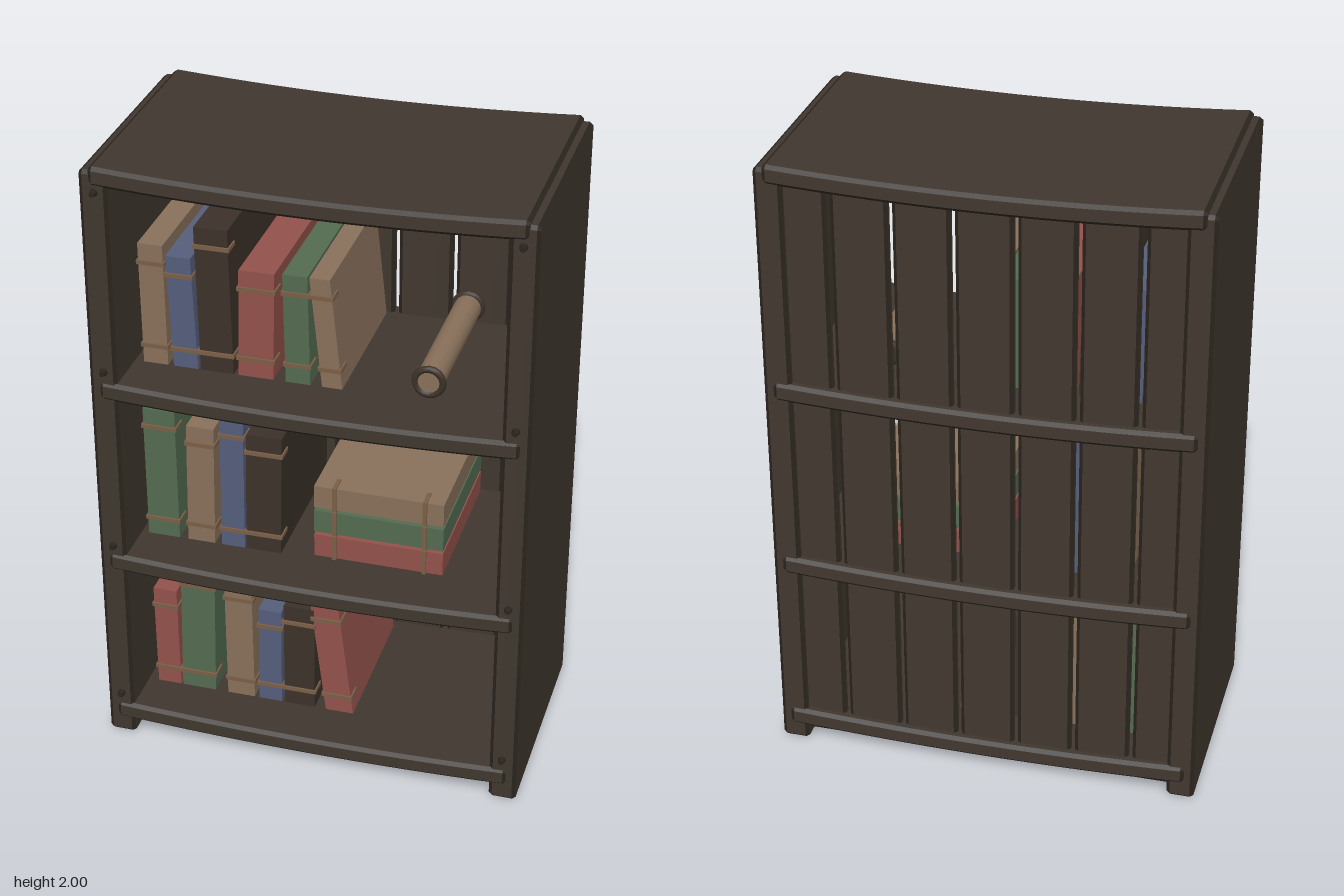
import * as THREE from 'three';

const mat = (name, color) => Object.assign(new THREE.MeshStandardMaterial({ color }), { name });

export function createModel() {
  const root = new THREE.Group();
  root.name = 'bookcase';
  const wood = mat('dark wood', 0x40372f);
  const edge = mat('worn dark edge', 0x2b241e);
  const colors = {
    tan: mat('tan leather', 0x88705a),
    blue: mat('blue cloth', 0x555d7a),
    red: mat('red cloth', 0x92514a),
    green: mat('green cloth', 0x536b50),
    dark: mat('dark leather', 0x3b3129),
  };
  const bandMat = mat('spine band', 0x7a5f47);

  const add = (parent, name, geo, material, x = 0, y = 0, z = 0) => {
    const m = new THREE.Mesh(geo, material);
    m.name = name;
    m.position.set(x, y, z);
    parent.add(m);
    return m;
  };

  // Chamfered box, flat faces in wood and chamfers in the edge colour; optional sag along x
  function board(name, w, h, d, x, y, z, sag = 0) {
    const b = 0.011, p = d / 2, q = h / 2;
    const shape = new THREE.Shape([
      [-p + b, -q], [p - b, -q], [p, -q + b], [p, q - b],
      [p - b, q], [-p + b, q], [-p, q - b], [-p, -q + b],
    ].map(([u, v]) => new THREE.Vector2(u, v)));
    const ext = new THREE.ExtrudeGeometry(shape, {
      depth: w - 2 * b, steps: sag ? 16 : 1, bevelEnabled: true,
      bevelThickness: b, bevelSize: b * 0.7, bevelOffset: -b * 0.7, bevelSegments: 1,
    });
    ext.translate(0, 0, -(w - 2 * b) / 2).rotateY(Math.PI / 2);
    const src = ext.getAttribute('position');
    const faces = [[], []];
    const tri = new THREE.Triangle(), n = new THREE.Vector3();
    for (let i = 0; i < src.count; i += 3) {
      tri.setFromAttributeAndIndices(src, i, i + 1, i + 2);
      tri.getNormal(n);
      const flat = Math.max(Math.abs(n.x), Math.abs(n.y), Math.abs(n.z)) > 0.99;
      for (const v of [tri.a, tri.b, tri.c]) {
        faces[flat ? 0 : 1].push(v.x, v.y - sag * (1 - (2 * v.x / w) ** 2), v.z);
      }
    }
    const geo = new THREE.BufferGeometry();
    geo.setAttribute('position', new THREE.Float32BufferAttribute(faces.flat(), 3));
    geo.addGroup(0, faces[0].length / 3, 0);
    geo.addGroup(faces[0].length / 3, faces[1].length / 3, 1);
    geo.computeVertexNormals();
    return add(root, name, geo, [wood, edge], x, y, z);
  }

  // Side panels with pegs on their front edges
  for (const s of [-1, 1]) {
    board(s > 0 ? 'leftSide' : 'rightSide', 0.085, 1.985, 0.745, s * 0.628, 0.9925, -0.005);
    for (const y of [0.155, 0.72, 1.335, 1.92]) {
      const peg = new THREE.CylinderGeometry(0.009, 0.013, 0.02, 8).rotateX(Math.PI / 2);
      add(root, 'peg', peg, edge, s * 0.625, y, 0.375);
    }
  }

  // Sagging top, shelves and bottom
  [['bottomBoard', 0.088, 0.018], ['lowerShelf', 0.66, 0.02],
    ['upperShelf', 1.27, 0.02], ['topBoard', 1.97, 0.022]]
    .forEach(([name, y, sag]) => board(name, 1.28, 0.06, 0.76, 0, y, -0.006, sag));

  // Back planks with narrow gaps
  for (let i = 0; i < 7; i++) {
    const y0 = 0.03 + 0.008 * (i % 3);
    board('backPlank', 0.171, 1.95 - y0, 0.03, (i - 3) * 0.184 - 0.005, (1.95 + y0) / 2, -0.345);
  }

  const front = 0.24, depth = 0.5;

  // Leaning block: its top is moved along x by lean
  function leaningBox(w, h, d, lean) {
    const g = new THREE.BoxGeometry(w, h, d);
    const p = g.getAttribute('position');
    for (let i = 0; i < p.count; i++) p.setX(i, p.getX(i) + lean * (p.getY(i) / h));
    g.computeVertexNormals();
    return g;
  }

  // Standing books: colour, left edge at the base, left edge at the top, width, top height
  const rows = [
    [1.315, [['tan', -0.545, -0.55, 0.077, 1.71], ['blue', -0.45, -0.465, 0.077, 1.68],
      ['dark', -0.365, -0.375, 0.103, 1.785], ['red', -0.247, -0.24, 0.109, 1.665],
      ['green', -0.1, -0.107, 0.076, 1.67], ['tan', 0.012, -0.025, 0.062, 1.67]]],
    [0.70, [['green', -0.555, -0.558, 0.102, 1.15], ['tan', -0.425, -0.42, 0.088, 1.11],
      ['blue', -0.315, -0.312, 0.075, 1.155], ['dark', -0.235, -0.228, 0.112, 1.11]]],
    [0.13, [['red', -0.545, -0.55, 0.077, 0.49], ['green', -0.462, -0.455, 0.112, 0.585],
      ['tan', -0.308, -0.312, 0.09, 0.56], ['blue', -0.202, -0.2, 0.075, 0.475],
      ['dark', -0.117, -0.117, 0.1, 0.505], ['red', 0.02, -0.03, 0.09, 0.535]]],
  ];
  for (const [y0, books] of rows) {
    for (const [color, xb, xt, w, y1] of books) {
      const h = y1 - y0, lean = xt - xb;
      const book = new THREE.Group();
      book.name = color + 'Book';
      book.position.set((xb + xt + w) / 2, (y0 + y1) / 2, front - depth / 2);
      add(book, 'cover', leaningBox(w, h, depth, lean), colors[color]);
      for (const y of [-h / 2 + 0.06, h / 2 - 0.06]) {
        const band = leaningBox(w + 0.01, 0.013, 0.06, lean * 0.013 / h);
        add(book, 'spineBand', band, bandMat, lean * y / h, y, depth / 2 - 0.024);
      }
      root.add(book);
    }
  }

  // Lying stack of three books
  ['red', 'green', 'tan'].forEach((color, i) => {
    const book = new THREE.Group();
    book.name = color + 'LyingBook';
    book.position.set(0.188, 0.753 + i * 0.087, front - depth / 2);
    add(book, 'cover', new THREE.BoxGeometry(0.406, 0.076, depth), colors[color]);
    for (const x of [-0.138, 0.145]) {
      add(book, 'spineBand', new THREE.BoxGeometry(0.013, 0.083, 0.06), bandMat, x, 0, depth / 2 - 0.024);
    }
    root.add(book);
  });

  // Rolled scroll with dark end rings
  const scroll = new THREE.Group();
  scroll.name = 'scroll';
  scroll.position.set(0.335, 1.38, front - depth / 2);
  add(scroll, 'roll', new THREE.CylinderGeometry(0.042, 0.042, depth, 16).rotateX(Math.PI / 2), colors.tan);
  for (const s of [-1, 1]) {
    add(scroll, 'endRing', new THREE.TorusGeometry(0.042, 0.011, 8, 16), colors.dark, 0, 0, s * (depth / 2 - 0.005));
  }
  root.add(scroll);
  return root;
}
